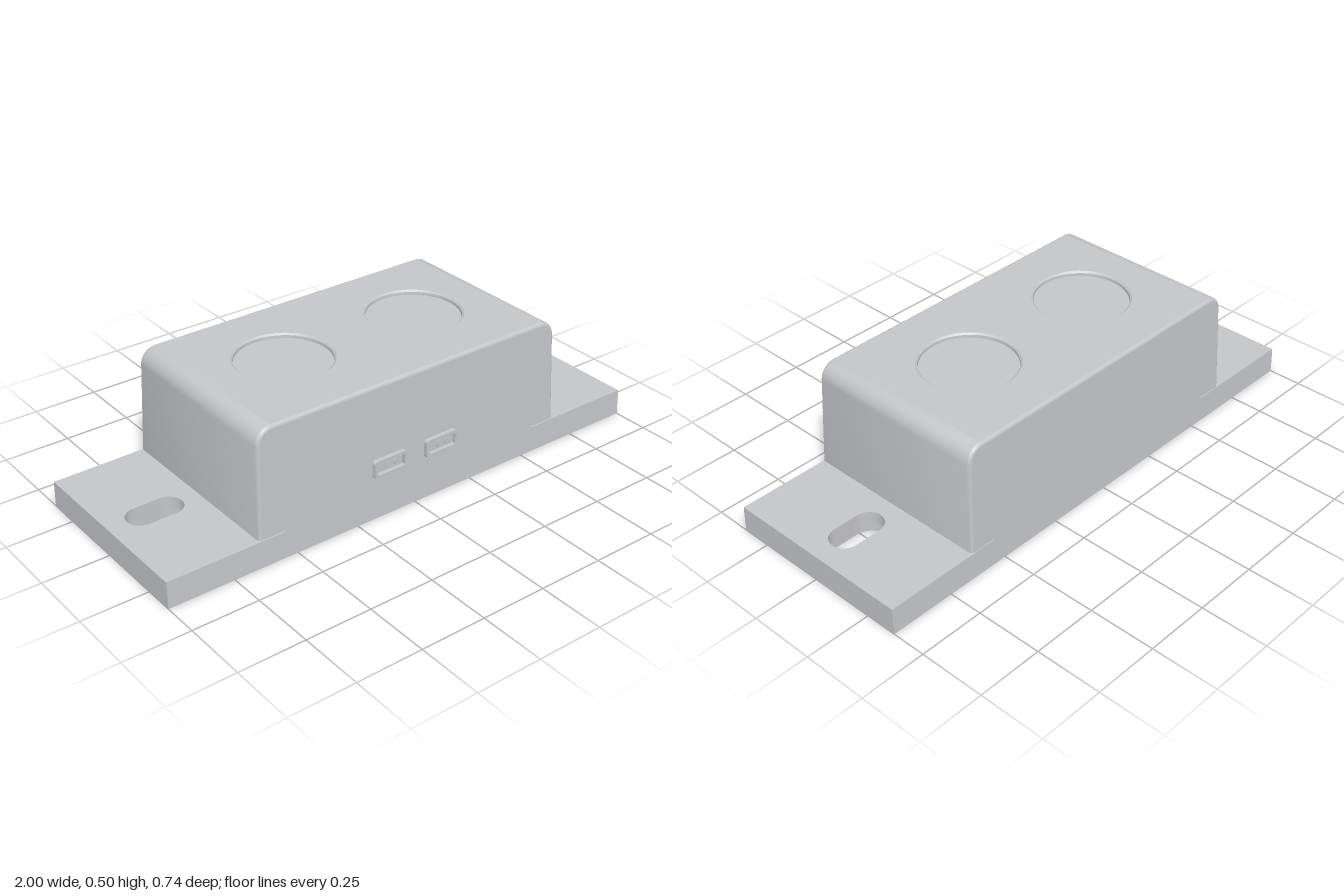
import * as THREE from 'three';
import { toCreasedNormals } from 'three/addons/utils/BufferGeometryUtils.js';

const HALF = 0.368;   // half depth at the ground
const TOP = 0.505;    // height of the cover
const ROUND = 0.012;  // small rounding of the cover's front and back edges
const SLOT = { x: 0.82, half: 0.05, r: 0.056 };
const draft = (y) => 1 - 0.097 * y;

// Lean front and back inward with height
function taper(geo) {
  const p = geo.attributes.position;
  for (let i = 0; i < p.count; i++) p.setZ(i, p.getZ(i) * draft(p.getY(i)));
  geo.computeVertexNormals();
  return geo;
}

const polygon = (pts) => new THREE.Shape(pts.map(([x, y]) => new THREE.Vector2(x, y)));
const rect = (x0, y0, x1, y1) => polygon([[x0, y0], [x1, y0], [x1, y1], [x0, y1]]);

function roundRect(cx, cy, w, h, r) {
  const s = new THREE.Shape();
  const x = w / 2 - r, y = h / 2 - r;
  s.absarc(cx + x, cy + y, r, 0, Math.PI / 2);
  s.absarc(cx - x, cy + y, r, Math.PI / 2, Math.PI);
  s.absarc(cx - x, cy - y, r, Math.PI, Math.PI * 1.5);
  s.absarc(cx + x, cy - y, r, Math.PI * 1.5, Math.PI * 2);
  s.closePath();
  return s;
}
const stadium = (cx, half, r) => roundRect(cx, 0, 2 * (half + r), 2 * r, r);

const circle = (x, y, r) => new THREE.Shape().absarc(x, y, r, 0, Math.PI * 2);

// Horizontal slab from a plan outline with holes
function slab(holes, y0, y1) {
  const s = rect(-1, -HALF, 1, HALF);
  s.holes = holes;
  const g = new THREE.ExtrudeGeometry(s, { depth: y1 - y0, bevelEnabled: false, curveSegments: 16 });
  return taper(g.rotateX(-Math.PI / 2).translate(0, y0, 0));
}

// Cover outline seen from the front, moved in by i
function arch(i) {
  const right = [[0.651 - i, 0.104]];
  const r = 0.06 - i;
  for (let k = 0; k <= 8; k++) {
    const a = (k / 8) * Math.PI / 2;
    right.push([0.58 + r * Math.cos(a), TOP - 0.06 + r * Math.sin(a)]);
  }
  return [...right, ...right.map(([x, y]) => [-x, y]).reverse()];
}

// Cover sides: outlines lofted from front to back, top left open
function coverShell() {
  const front = [];
  for (let k = 0; k <= 4; k++) {
    const a = (k / 4) * Math.PI / 2;
    front.push([HALF - ROUND + ROUND * Math.cos(a), ROUND * (1 - Math.sin(a))]);
  }
  const rings = [...front, ...front.map(([z, i]) => [-z, i]).reverse()];
  const pos = [], index = [];
  rings.forEach(([z, i]) => arch(i).forEach(([x, y]) => pos.push(x, y, z)));
  const n = arch(0).length;
  for (let r = 0; r < rings.length - 1; r++) {
    for (let j = 0; j < n - 1; j++) {
      if (r === front.length - 1 && j === n / 2 - 1) continue;
      const a = r * n + j, b = a + n;
      index.push(a, b, a + 1, a + 1, b, b + 1);
    }
  }
  const g = new THREE.BufferGeometry();
  g.setAttribute('position', new THREE.Float32BufferAttribute(pos, 3));
  g.setIndex(index);
  return toCreasedNormals(taper(g), 0.6);
}

// Upright flat face at depth z, on the front or the back
function face(shape, z, side) {
  const g = new THREE.ShapeGeometry(shape);
  if (side < 0) g.rotateY(Math.PI);
  return taper(g.translate(0, 0, z * side));
}

export function createModel() {
  const model = new THREE.Group();
  model.name = 'mountedEnclosure';
  const grey = new THREE.MeshStandardMaterial({ color: 0xc4c5c9, side: THREE.DoubleSide });
  const body = new THREE.Group();
  body.name = 'body';
  body.position.z = -0.0035;
  model.add(body);
  const add = (name, geo) => {
    const m = new THREE.Mesh(geo, grey);
    m.name = name;
    body.add(m);
    return m;
  };

  // Base: upper layer with mounting slots, lower layer with pockets
  const split = 0.055;
  const slots = [], pockets = [rect(-0.35, -0.04, 0.25, 0.16)];
  for (const s of [-1, 1]) {
    slots.push(stadium(s * SLOT.x, SLOT.half, SLOT.r));
    pockets.push(stadium(s * SLOT.x, 0.055, 0.075), circle(s * 0.61, 0, 0.05));
    for (const t of [-1, 1]) {
      pockets.push(
        rect(s * 0.57, t * 0.23, s * 0.96, t * 0.335),
        rect(s * 0.69, t * 0.105, s * 0.8, t * 0.2),
        rect(s * 0.835, t * 0.105, s * 0.96, t * 0.2),
        rect(s * 0.57, t * 0.08, s * 0.66, t * 0.2),
      );
    }
  }
  add('basePlate', slab(slots, split, 0.1));
  add('baseUnderside', slab(pockets, 0, split));
  const label = add('undersidePanel', new THREE.BoxGeometry(0.592, 0.05, 0.192));
  label.position.set(-0.05, 0.029, -0.06);

  // Cover: shell, front and back faces with a fine seam around an inner panel
  add('coverShell', coverShell());
  const seam = [[-0.553, 0.104], [-0.546, 0.375], [-0.53, 0.391], [0.53, 0.391], [0.546, 0.375], [0.553, 0.104]];
  const frame = polygon([...arch(ROUND), ...seam]);
  const panel = polygon([[-0.548, 0.1], [-0.541, 0.373], [-0.528, 0.386], [0.528, 0.386], [0.541, 0.373], [0.548, 0.1]]);
  for (const side of [1, -1]) {
    const where = side > 0 ? 'front' : 'back';
    add(where + 'CoverFace', face(frame, HALF, side));
    add(where + 'Panel', face(panel, HALF, side));
    add(where + 'SeamFloor', face(rect(-0.64, 0.1, 0.64, 0.42), HALF - 0.008, side));
  }

  // Cover top with two round recesses
  const edge = (HALF - ROUND) * draft(TOP);
  const top = rect(-0.58, -edge, 0.58, edge);
  top.holes = [-1, 1].map((s) => circle(s * 0.285, 0, 0.18));
  add('coverTop', new THREE.ShapeGeometry(top, 32).rotateX(-Math.PI / 2).translate(0, TOP, 0));
  const dish = [[0, 0.488], [0.172, 0.488], [0.173, 0.499], [0.18, TOP]].map(([x, y]) => new THREE.Vector2(x, y));
  for (const s of [-1, 1]) {
    const recess = add('topRecess', toCreasedNormals(new THREE.LatheGeometry(dish, 64), 0.5));
    recess.position.x = s * 0.285;
  }

  // Front connectors: raised rims with three pins each
  for (const x of [-0.115, 0.11]) {
    const rim = roundRect(0, 0, 0.14, 0.068, 0.012);
    rim.holes = [roundRect(0, 0, 0.116, 0.044, 0.006)];
    const g = new THREE.ExtrudeGeometry(rim, { depth: 0.026, bevelEnabled: false, curveSegments: 6 });
    add('connectorRim', g).position.set(x, 0.197, 0.3505);
    for (const k of [-1, 0, 1]) {
      const pin = add('connectorPin', new THREE.CylinderGeometry(0.017, 0.017, 0.02, 20).rotateX(Math.PI / 2));
      pin.position.set(x + k * 0.036, 0.197, 0.358);
    }
  }
  return model;
}
